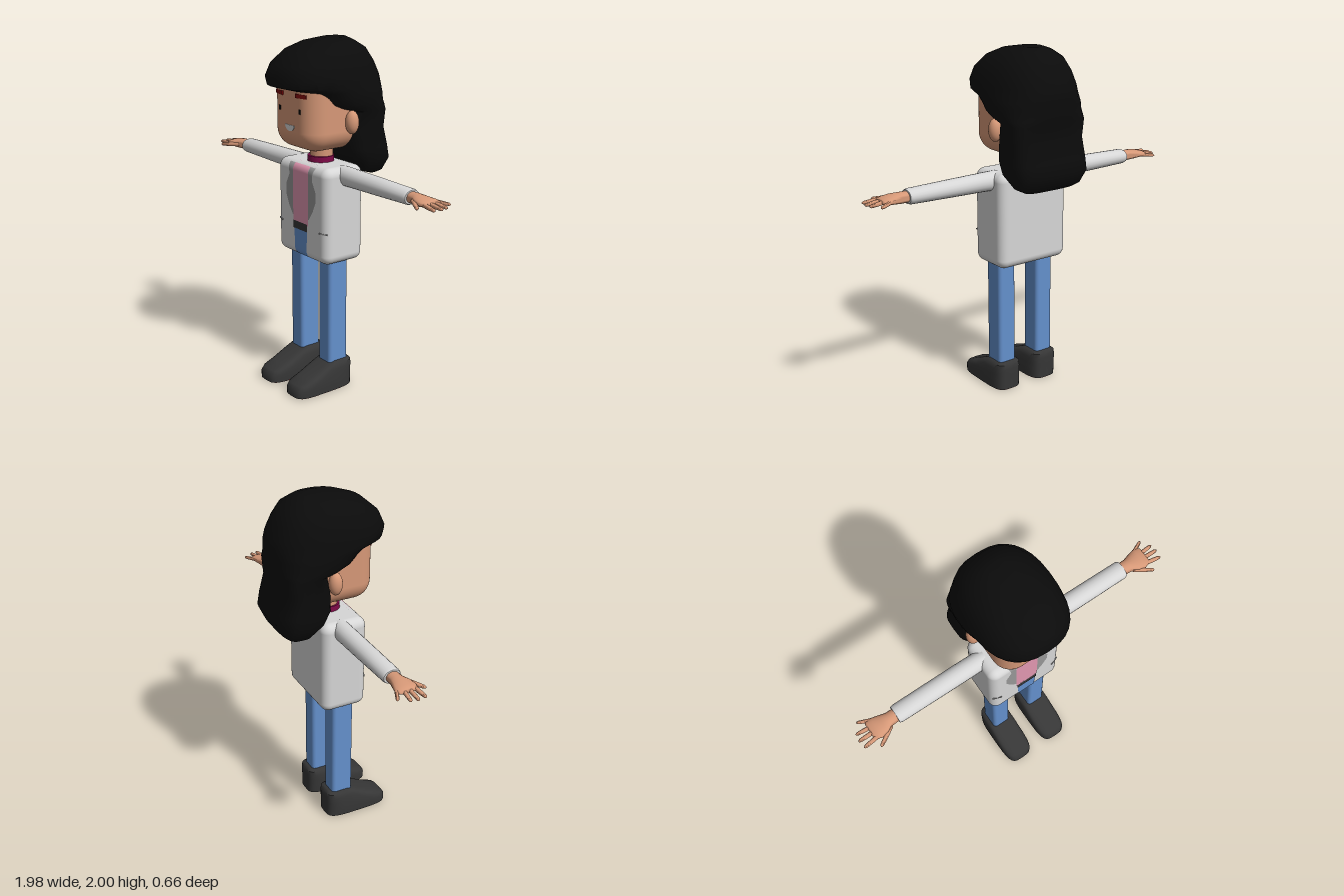
import * as THREE from 'three';
import { toCreasedNormals } from 'three/addons/utils/BufferGeometryUtils.js';
import { RoundedBoxGeometry } from 'three/addons/geometries/RoundedBoxGeometry.js';

const material = (name, color, side = THREE.FrontSide) => {
  const m = new THREE.MeshStandardMaterial({ color, side });
  m.name = name;
  return m;
};

// Closed loft through horizontal superellipse rings, listed upwards:
// [y, zFront, zBack, halfWidth, exponent]
function loft(rings, sides = 28, crease = 0.8) {
  const pos = [], index = [];
  for (const [y, f, b, w, n = 2] of rings) {
    for (let j = 0; j < sides; j++) {
      const a = (j / sides) * Math.PI * 2, c = Math.cos(a), s = Math.sin(a);
      const bend = (v) => Math.sign(v) * Math.pow(Math.abs(v), 2 / n);
      pos.push(w * bend(c), y, (f + b) / 2 + ((f - b) / 2) * bend(s));
    }
  }
  const last = rings.length - 1, base = rings.length * sides;
  for (const r of [rings[0], rings[last]]) pos.push(0, r[0], (r[1] + r[2]) / 2);
  for (let j = 0; j < sides; j++) {
    const k = (j + 1) % sides;
    for (let i = 0; i < last; i++) {
      const a = i * sides + j, b = i * sides + k;
      index.push(a, a + sides, b, b, a + sides, b + sides);
    }
    index.push(base, j, k, base + 1, last * sides + k, last * sides + j);
  }
  const g = new THREE.BufferGeometry();
  g.setAttribute('position', new THREE.Float32BufferAttribute(pos, 3));
  g.setIndex(index);
  return toCreasedNormals(g, crease);
}

// Thin panel that follows the rounded jacket front; rows are [y, xLeft, xRight]
function frontPanel(rows, lift) {
  const pos = [], index = [], r = 0.05, steps = 4;
  const add = (y, x0, x1) => {
    const d = Math.min(r, Math.max(y - 1.27, 0.82 - y, 0));
    const z = 0.11 + Math.sqrt(r * r - d * d) + lift;
    pos.push(x0, y, z, x1, y, z);
  };
  rows.forEach((row, i) => {
    if (i === 0) return add(...row);
    const p = rows[i - 1];
    for (let s = 1; s <= steps; s++) add(...row.map((v, k) => p[k] + ((v - p[k]) * s) / steps));
  });
  for (let i = 0; i < pos.length / 6 - 1; i++) {
    const a = i * 2;
    index.push(a, a + 1, a + 2, a + 1, a + 3, a + 2);
  }
  const g = new THREE.BufferGeometry();
  g.setAttribute('position', new THREE.Float32BufferAttribute(pos, 3));
  g.setIndex(index);
  g.computeVertexNormals();
  return g;
}

export function createModel() {
  const model = new THREE.Group();
  const hairBlack = material('hair black', 0x0b0b0b);
  const skin = material('skin', 0xd69877);
  const white = material('jacket white', 0xd6d6d6);
  const grey = material('lapel grey', 0x969696, THREE.DoubleSide);
  const pink = material('shirt pink', 0xe096b0, THREE.DoubleSide);
  const denim = material('denim blue', 0x6490cc, THREE.DoubleSide);
  const charcoal = material('charcoal', 0x363636, THREE.DoubleSide);
  const red = material('dark red', 0x7a0808);
  const magenta = material('collar magenta', 0x7c0a46);

  const add = (name, geometry, mat, x = 0, y = 0, z = 0, parent = model) => {
    const mesh = new THREE.Mesh(geometry, mat);
    mesh.name = name;
    mesh.position.set(x, y, z);
    parent.add(mesh);
    return mesh;
  };

  // Jacket body and its front details
  add('jacket', new RoundedBoxGeometry(0.46, 0.55, 0.27, 6, 0.05), white, 0, 1.045, 0.025);
  add('shirt', frontPanel([[0.97, -0.07, 0.07], [1.27, -0.07, 0.07], [1.32, -0.07, 0.07]], 0.003), pink);
  add('belt', frontPanel([[0.935, -0.065, 0.065], [0.98, -0.065, 0.065]], 0.006), charcoal);
  add('trouserFront', frontPanel([[0.77, -0.055, 0.055], [0.82, -0.055, 0.055], [0.94, -0.06, 0.06]], 0.003), denim);
  add('trouserBase', new THREE.BoxGeometry(0.36, 0.006, 0.17), denim, 0, 0.768, 0.025);

  // Neck and collar
  add('neck', new THREE.CylinderGeometry(0.066, 0.066, 0.14, 24), skin, 0, 1.36, 0.015);
  add('collar', new THREE.CylinderGeometry(0.074, 0.076, 0.035, 24), magenta, 0, 1.334, 0.02);

  // Head and mouth
  add('head', new RoundedBoxGeometry(0.386, 0.5, 0.43, 8, 0.11), skin, 0, 1.65, 0.015);
  const smile = new THREE.Shape();
  smile.moveTo(0.042, 1.545);
  smile.lineTo(-0.042, 1.545);
  smile.bezierCurveTo(-0.04, 1.5, 0.04, 1.5, 0.042, 1.545);
  add('mouth', new THREE.ExtrudeGeometry(smile, { depth: 0.006, bevelEnabled: false }), white, 0, 0, 0.227);

  // Hair: long back, fringe overhang and crown in one shell
  add('hair', loft([
    [1.24, -0.20, -0.27, 0.16, 3], [1.26, -0.14, -0.30, 0.20, 3.5], [1.33, -0.07, -0.33, 0.235, 4],
    [1.40, -0.03, -0.32, 0.235, 4], [1.51, -0.035, -0.29, 0.23, 4], [1.61, -0.055, -0.30, 0.24, 3.5],
    [1.635, 0.05, -0.31, 0.247, 3], [1.66, 0.12, -0.312, 0.252, 2.7], [1.70, 0.165, -0.315, 0.255, 2.6],
    [1.73, 0.22, -0.318, 0.253, 2.5], [1.755, 0.315, -0.32, 0.25, 2.5], [1.80, 0.33, -0.31, 0.244, 2.5],
    [1.87, 0.30, -0.28, 0.228, 2.4], [1.94, 0.22, -0.24, 0.185, 2.3], [1.98, 0.12, -0.18, 0.125, 2.2],
    [2.0, 0.0, -0.14, 0.06, 2],
  ], 32, 1.0), hairBlack);

  // Paired parts
  for (const side of [1, -1]) {
    const tag = side > 0 ? 'left' : 'right';

    const ear = add(tag + 'Ear', new THREE.SphereGeometry(1, 20, 14), skin, side * 0.212, 1.56, -0.032);
    ear.scale.set(0.038, 0.065, 0.038);
    add(tag + 'Eye', new THREE.BoxGeometry(0.014, 0.026, 0.008), hairBlack, side * 0.09, 1.628, 0.229);
    add(tag + 'Brow', new THREE.BoxGeometry(0.078, 0.022, 0.009), red, side * 0.0975, 1.712, 0.226).rotation.y = side * 0.2;

    const lapelRows = [
      [1.01, 0.07, 0.075], [1.06, 0.07, 0.11], [1.12, 0.07, 0.137], [1.18, 0.07, 0.137],
      [1.24, 0.07, 0.105], [1.27, 0.07, 0.108], [1.32, 0.07, 0.12],
    ];
    add(tag + 'Lapel', frontPanel(lapelRows.map(([y, a, b]) => (side > 0 ? [y, a, b] : [y, -b, -a])), 0.002), grey);
    add(tag + 'Pocket', new THREE.BoxGeometry(0.055, 0.007, 0.006), grey, side * 0.198, 0.955, 0.155).rotation.y = side * 0.35;

    add(tag + 'Leg', new RoundedBoxGeometry(0.113, 0.66, 0.13, 3, 0.022), denim, side * 0.132, 0.46, 0.035);

    // Shoe with a thin coloured sole
    add(tag + 'Shoe', loft([
      [0.004, 0.33, -0.06, 0.088, 4], [0.045, 0.33, -0.06, 0.09, 4], [0.07, 0.31, -0.06, 0.089, 4],
      [0.095, 0.245, -0.06, 0.087, 4], [0.13, 0.17, -0.06, 0.084, 4], [0.158, 0.11, -0.058, 0.078, 4],
      [0.17, 0.09, -0.045, 0.062, 4],
    ]), charcoal, side * 0.13);
    add(tag + 'Sole', loft([[0, 0.322, -0.055, 0.083, 4], [0.005, 0.322, -0.055, 0.083, 4]]), red, side * 0.13);

    // Arm built upright, then swung out to the side
    const arm = new THREE.Group();
    arm.name = tag + 'Arm';
    arm.position.set(0, 1.268, 0.01);
    arm.rotation.z = -side * Math.PI / 2;
    model.add(arm);
    add(tag + 'Sleeve', loft([
      [0.18, 0.053, -0.053, 0.056], [0.3, 0.055, -0.055, 0.053], [0.5, 0.055, -0.055, 0.049],
      [0.735, 0.054, -0.054, 0.043], [0.75, 0.05, -0.05, 0.038],
    ], 20), white, 0, 0, 0, arm);
    add(tag + 'Palm', loft([
      [0.73, 0.037, -0.037, 0.03], [0.79, 0.042, -0.038, 0.031], [0.83, 0.065, -0.05, 0.027],
      [0.87, 0.068, -0.06, 0.021], [0.9, 0.058, -0.056, 0.014], [0.91, 0.04, -0.045, 0.006],
    ], 20, 1.2), skin, 0, 0, 0, arm);

    // Fingers: [rootX, rootZ, tipX, tipZ, radius]
    const fingers = [
      [0.8, 0.04, 0.905, 0.098, 0.0125], [0.87, 0.045, 0.98, 0.057, 0.0125], [0.88, 0.014, 0.988, 0.013, 0.0125],
      [0.88, -0.016, 0.98, -0.026, 0.012], [0.86, -0.042, 0.945, -0.078, 0.011],
    ];
    fingers.forEach(([x0, z0, x1, z1, r], i) => {
      const drop = side * 0.008; // fingertips dip slightly
      const from = new THREE.Vector3(0, x0, z0), to = new THREE.Vector3(drop, x1 - r, z1);
      const dir = to.clone().sub(from), length = dir.length();
      const g = loft([
        [0, r, -r, r], [length * 0.6, r * 0.95, -r * 0.95, r * 0.95], [length, r * 0.8, -r * 0.8, r * 0.8],
        [length + r * 0.7, r * 0.45, -r * 0.45, r * 0.45], [length + r, 0.001, -0.001, 0.001],
      ], 10, 1.2);
      const finger = add(tag + (i ? 'Finger' + i : 'Thumb'), g, skin, from.x, from.y, from.z, arm);
      finger.quaternion.setFromUnitVectors(new THREE.Vector3(0, 1, 0), dir.normalize());
    });
  }
  return model;
}
